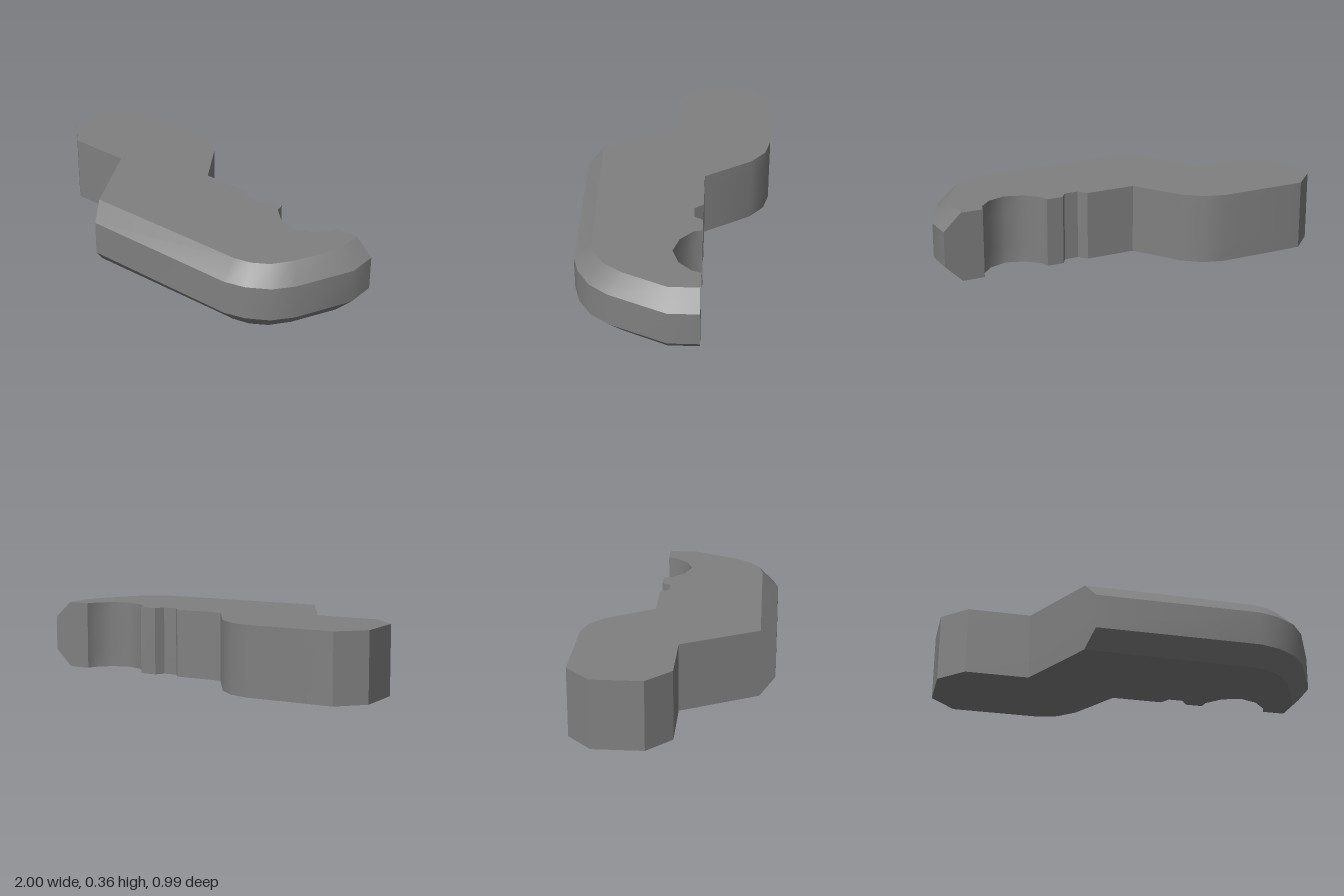
import * as THREE from 'three';
import { toCreasedNormals } from 'three/addons/utils/BufferGeometryUtils.js';

// Plan outline as [x, z], clockwise from above; points on the chamfered edge add [inset x, inset z]
const outline = [
  // rounded handle end, back side
  [-1, -0.37], [-0.87, -0.495], [-0.41, -0.495], [-0.3, -0.465], [-0.21, -0.39], [-0.055, -0.143],
  // small notch
  [0.21, -0.143], [0.245, -0.097], [0.32, -0.097], [0.35, -0.143], [0.44, -0.143],
  // round recess
  [0.45, -0.097], [0.52, -0.03], [0.615, 0.002], [0.71, -0.03], [0.775, -0.097], [0.79, -0.143],
  // chamfered nose and front
  [1, -0.143, 0.907, -0.143], [1, 0.015, 0.907, 0.015], [0.865, 0.305, 0.8, 0.24],
  [0.79, 0.4, 0.73, 0.335], [0.685, 0.465, 0.65, 0.385], [0.575, 0.495, 0.565, 0.405],
  [-0.285, 0.495, -0.327, 0.415],
  // inner step and handle front
  [-0.54, 0.015], [-0.87, 0.015], [-1, -0.11],
];

function bodyGeometry() {
  const n = outline.length;
  const inner = outline.map(([x, z, ix = x, iz = z]) => new THREE.Vector2(ix, iz));
  const outer = outline.map(([x, z]) => new THREE.Vector2(x, z));
  const rings = [[0, inner], [0.09, outer], [0.272, outer], [0.36, inner]];
  const positions = [];
  const index = [];
  for (const [y, ring] of rings) for (const p of ring) positions.push(p.x, y, p.y);

  // side walls between neighbouring rings
  for (let r = 0; r < 3; r++) {
    for (let i = 0; i < n; i++) {
      const a = r * n + i, b = r * n + (i + 1) % n;
      index.push(a, a + n, b, b, a + n, b + n);
    }
  }
  // flat top and bottom
  for (const [a, b, c] of THREE.ShapeUtils.triangulateShape(inner, [])) {
    const up = THREE.ShapeUtils.area([inner[a], inner[b], inner[c]]) < 0;
    const [p, q] = up ? [b, c] : [c, b];
    const t = 3 * n;
    index.push(a + t, p + t, q + t, a, q, p);
  }
  const geometry = new THREE.BufferGeometry();
  geometry.setAttribute('position', new THREE.Float32BufferAttribute(positions, 3));
  geometry.setIndex(index);
  return toCreasedNormals(geometry, 0.66);
}

export function createModel() {
  const grey = new THREE.MeshStandardMaterial({ color: 0x808080 });
  grey.name = 'grey';
  const body = new THREE.Mesh(bodyGeometry(), grey);
  body.name = 'leverBody';
  const group = new THREE.Group();
  group.name = 'lever';
  group.add(body);
  return group;
}
